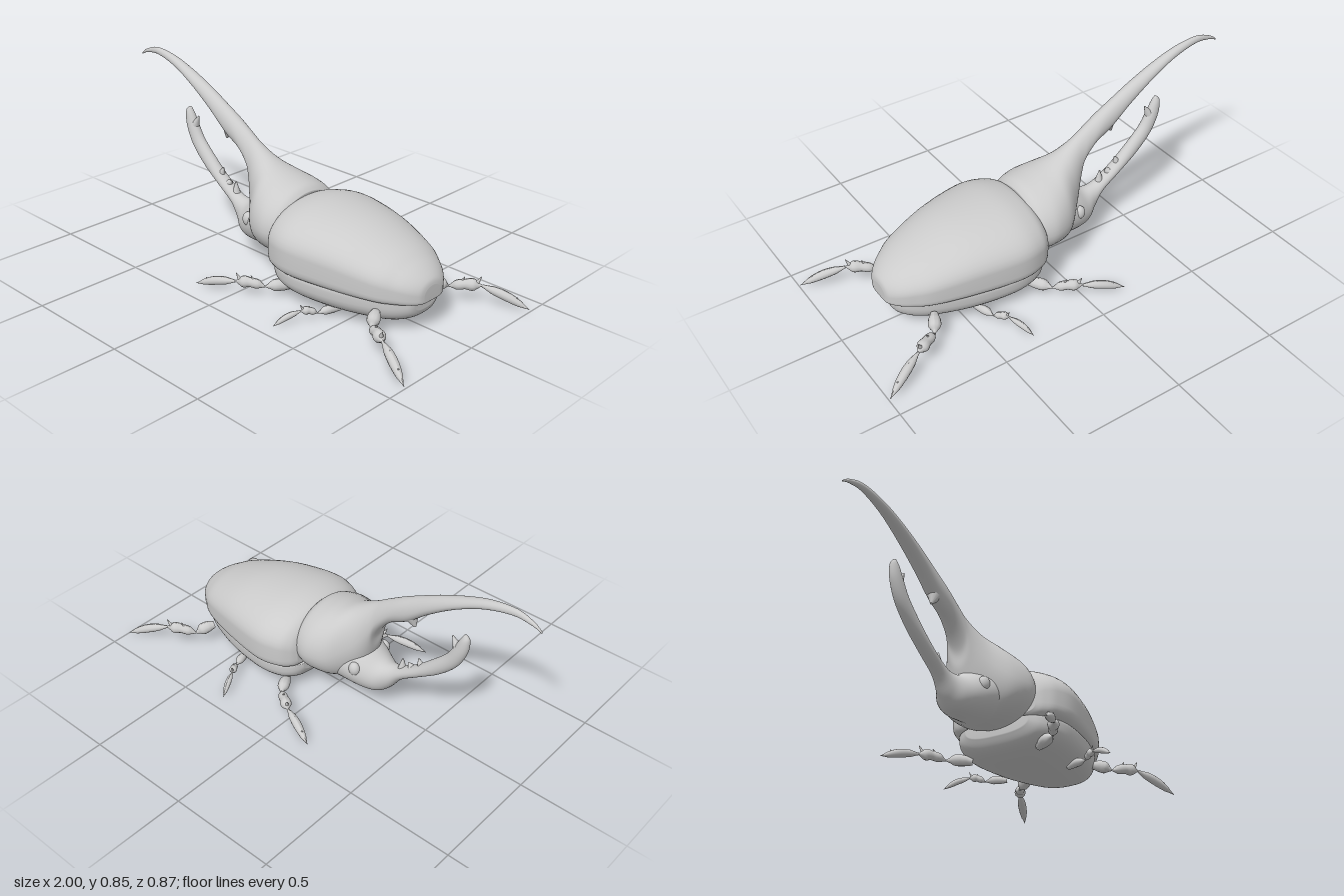
import * as THREE from 'three';

const material = new THREE.MeshStandardMaterial({ color: 0xcccccc, roughness: 0.6 });
const V = (x, y, z) => new THREE.Vector3(x, y, z);

function add(parent, name, geometry) {
  const mesh = new THREE.Mesh(geometry, material);
  mesh.name = name;
  parent.add(mesh);
  return mesh;
}

// Smooth interpolation through rows of numbers
function smoothRows(rows, steps) {
  const out = [];
  const at = (i) => rows[THREE.MathUtils.clamp(i, 0, rows.length - 1)];
  for (let i = 0; i < rows.length - 1; i++) {
    for (let s = 0; s < steps; s++) {
      const t = s / steps;
      out.push(rows[i].map((b, k) => {
        const a = at(i - 1)[k], c = at(i + 1)[k], d = at(i + 2)[k];
        return b + 0.5 * t * (c - a + t * (2 * a - 5 * b + 4 * c - d + t * (3 * (b - c) + d - a)));
      }));
    }
  }
  out.push(rows[rows.length - 1]);
  return out;
}

// Skin over sections running towards -x.
// Row: top x, top y, bottom x, bottom y, half width.
// level = height of the widest point, nTop / nBottom = squareness of each half.
function loft(rows, { level = 0.5, nTop = 2, nBottom = 2, steps = 6, sides = 48 } = {}) {
  const sections = smoothRows(rows, steps);
  const pos = [], index = [];
  const power = (v, n) => Math.sign(v) * Math.abs(v) ** (2 / n);
  for (const [tx, ty, bx, by, w] of sections) {
    for (let j = 0; j < sides; j++) {
      const a = (j / sides) * Math.PI * 2;
      const n = a < Math.PI ? nTop : nBottom;
      const v = power(Math.sin(a), n);
      const h = level + v * (v > 0 ? 1 - level : level);
      pos.push(bx + (tx - bx) * h, by + (ty - by) * h, w * power(Math.cos(a), n));
    }
  }
  for (let i = 0; i < sections.length - 1; i++) {
    for (let j = 0; j < sides; j++) {
      const k = (j + 1) % sides;
      const a = i * sides + j, b = i * sides + k;
      index.push(a, b, a + sides, b, b + sides, a + sides);
    }
  }
  // End caps
  [0, sections.length - 1].forEach((i) => {
    const [tx, ty, bx, by] = sections[i];
    const c = pos.length / 3;
    pos.push(bx + (tx - bx) * level, by + (ty - by) * level, 0);
    for (let j = 0; j < sides; j++) {
      const a = i * sides + j, b = i * sides + ((j + 1) % sides);
      if (i === 0) index.push(c, b, a);
      else index.push(c, a, b);
    }
  });
  const g = new THREE.BufferGeometry();
  g.setAttribute('position', new THREE.Float32BufferAttribute(pos, 3));
  g.setIndex(index);
  g.computeVertexNormals();
  return g;
}

// Tube whose radius follows a list of values along its length
function limb(points, radii) {
  const curve = new THREE.CatmullRomCurve3(points);
  const segs = 20, sides = 12;
  const g = new THREE.TubeGeometry(curve, segs, 1, sides);
  const p = g.attributes.position, v = V(0, 0, 0);
  const profile = smoothRows(radii.map((r) => [r]), 12);
  for (let i = 0; i <= segs; i++) {
    const c = curve.getPointAt(i / segs);
    const r = profile[Math.round((i / segs) * (profile.length - 1))][0];
    for (let j = 0; j <= sides; j++) {
      const k = i * (sides + 1) + j;
      v.fromBufferAttribute(p, k).sub(c).multiplyScalar(Math.max(r, 0.001)).add(c);
      p.setXYZ(k, v.x, v.y, v.z);
    }
  }
  g.computeVertexNormals();
  return g;
}

// Cone from a base point to a tip
function spike(parent, name, base, tip, radius) {
  const dir = tip.clone().sub(base);
  const mesh = add(parent, name, new THREE.CylinderGeometry(radius * 0.15, radius, dir.length(), 12));
  mesh.position.copy(base).addScaledVector(dir, 0.5);
  mesh.quaternion.setFromUnitVectors(V(0, 1, 0), dir.normalize());
}

function leg(name, side, hip, knee, ankle, toe, size) {
  const group = new THREE.Group();
  group.name = name;
  const [h, k, a, t] = [hip, knee, ankle, toe].map(([x, y, z]) => V(x, y, z * side));
  const mid = (p, q, lift) => p.clone().lerp(q, 0.5).add(V(0, lift, 0));
  add(group, 'femur', limb([h, mid(h, k, 0.005), k], [0.016, 0.025, 0.025, 0.003].map((r) => r * size)));
  add(group, 'tibia', limb([k, mid(k, a, 0.008), a], [0.004, 0.02, 0.021, 0.025, 0.004].map((r) => r * size)));
  add(group, 'foot', limb([a, mid(a, t, 0.008), t], [0.006, 0.017, 0.019, 0.014, 0.001].map((r) => r * size)));
  // Spines along the upper edge
  const spine = (p, q, f, len) => {
    const base = p.clone().lerp(q, f).add(V(0, 0.012 * size, 0));
    const tip = base.clone().add(q.clone().sub(p).normalize().multiplyScalar(len * 0.6)).add(V(0, len, 0));
    spike(group, 'spine', base, tip, 0.009 * size);
  };
  [0.35, 0.85].forEach((f) => spine(k, a, f, 0.028 * size));
  [0.3, 0.5, 0.7].forEach((f) => spine(a, t, f, 0.014 * size));
  return group;
}

export function createModel() {
  const beetle = new THREE.Group();
  beetle.name = 'beetle';
  const body = new THREE.Group();
  body.name = 'body';
  body.position.z = 0.01;
  beetle.add(body);

  // Domed wing covers: x, top, bottom, half width
  add(body, 'wingCovers', loft([
    [0.803, 0.215, 0.15, 0.05], [0.795, 0.24, 0.145, 0.078], [0.765, 0.27, 0.142, 0.118],
    [0.72, 0.3, 0.14, 0.155], [0.64, 0.34, 0.138, 0.202], [0.46, 0.4, 0.138, 0.256],
    [0.26, 0.425, 0.14, 0.291], [0.15, 0.415, 0.145, 0.272], [0.1, 0.39, 0.152, 0.235],
    [0.08, 0.34, 0.17, 0.2],
  ].map(([x, t, b, w]) => [x, t, x, b, w]), { level: 0.45, nBottom: 6 }));

  // Bowl-shaped belly under the covers
  add(body, 'belly', loft([
    [0.77, 0.1, 0.07], [0.755, 0.07, 0.1], [0.7, 0.043, 0.145], [0.62, 0.03, 0.185], [0.46, 0.02, 0.235],
    [0.28, 0.02, 0.26], [0.17, 0.03, 0.245], [0.11, 0.055, 0.21], [0.08, 0.1, 0.16],
  ].map(([x, b, w]) => [x, 0.16, x, b, w]), { level: 0.85, nTop: 6, nBottom: 2.7 }));

  // Thorax flowing into the long upper horn
  add(body, 'thoraxAndUpperHorn', loft([
    [0.115, 0.41, 0.1, 0.15, 0.18], [0.085, 0.436, 0.08, 0.125, 0.203], [0.02, 0.455, 0.02, 0.115, 0.214],
    [-0.05, 0.476, -0.08, 0.12, 0.185], [-0.12, 0.51, -0.165, 0.2, 0.11], [-0.2, 0.556, -0.2, 0.3, 0.064],
    [-0.27, 0.602, -0.212, 0.39, 0.05], [-0.34, 0.645, -0.28, 0.485, 0.045], [-0.42, 0.69, -0.38, 0.545, 0.042],
    [-0.52, 0.742, -0.48, 0.63, 0.038], [-0.64, 0.795, -0.61, 0.722, 0.032], [-0.76, 0.838, -0.74, 0.788, 0.023],
    [-0.88, 0.855, -0.87, 0.822, 0.014], [-0.96, 0.833, -0.955, 0.816, 0.008], [-1, 0.806, -0.998, 0.8, 0.003],
  ], { level: 0.45 }));

  // Head flowing into the upturned lower horn
  add(body, 'headAndLowerHorn', loft([
    [0.02, 0.34, 0.02, 0.12, 0.16], [-0.09, 0.34, -0.09, 0.105, 0.138], [-0.18, 0.295, -0.18, 0.094, 0.112],
    [-0.245, 0.26, -0.25, 0.1, 0.082], [-0.295, 0.26, -0.3, 0.14, 0.05], [-0.345, 0.277, -0.355, 0.212, 0.036],
    [-0.42, 0.325, -0.45, 0.28, 0.033], [-0.5, 0.397, -0.55, 0.35, 0.031], [-0.575, 0.473, -0.63, 0.432, 0.029],
    [-0.612, 0.535, -0.674, 0.52, 0.026], [-0.635, 0.58, -0.682, 0.59, 0.019], [-0.652, 0.61, -0.666, 0.614, 0.008],
  ]));

  // Teeth on the inner edges of both horns: base x, y, tip x, y, radius
  [
    [-0.385, 0.575, -0.408, 0.526, 0.034], [-0.35, 0.26, -0.352, 0.322, 0.022],
    [-0.4, 0.3, -0.382, 0.318, 0.02], [-0.455, 0.32, -0.436, 0.368, 0.024],
    [-0.625, 0.535, -0.599, 0.58, 0.02],
  ].forEach(([x, y, tx, ty, r]) => spike(body, 'hornTooth', V(x, y, 0), V(tx, ty, 0), r));

  // Eyes and legs on both sides
  for (const side of [1, -1]) {
    const label = side > 0 ? 'left' : 'right';
    const eye = add(body, label + 'Eye', new THREE.SphereGeometry(0.03, 24, 16));
    eye.position.set(-0.165, 0.228, side * 0.102);
    eye.scale.set(0.9, 1.1, 0.8);
    beetle.add(
      leg(label + 'FrontLeg', side, [0.17, 0.04, 0.17], [0.11, 0.05, 0.275], [0.0, 0.062, 0.345], [-0.18, 0.012, 0.415], 1),
      leg(label + 'MiddleLeg', side, [0.44, 0.03, 0.16], [0.41, 0.035, 0.265], [0.37, 0.052, 0.325], [0.32, 0.005, 0.435], 0.7),
      leg(label + 'HindLeg', side, [0.645, 0.1, 0.17], [0.69, 0.072, 0.25], [0.81, 0.09, 0.322], [0.995, 0.01, 0.412], 1.05),
    );
  }
  return beetle;
}
